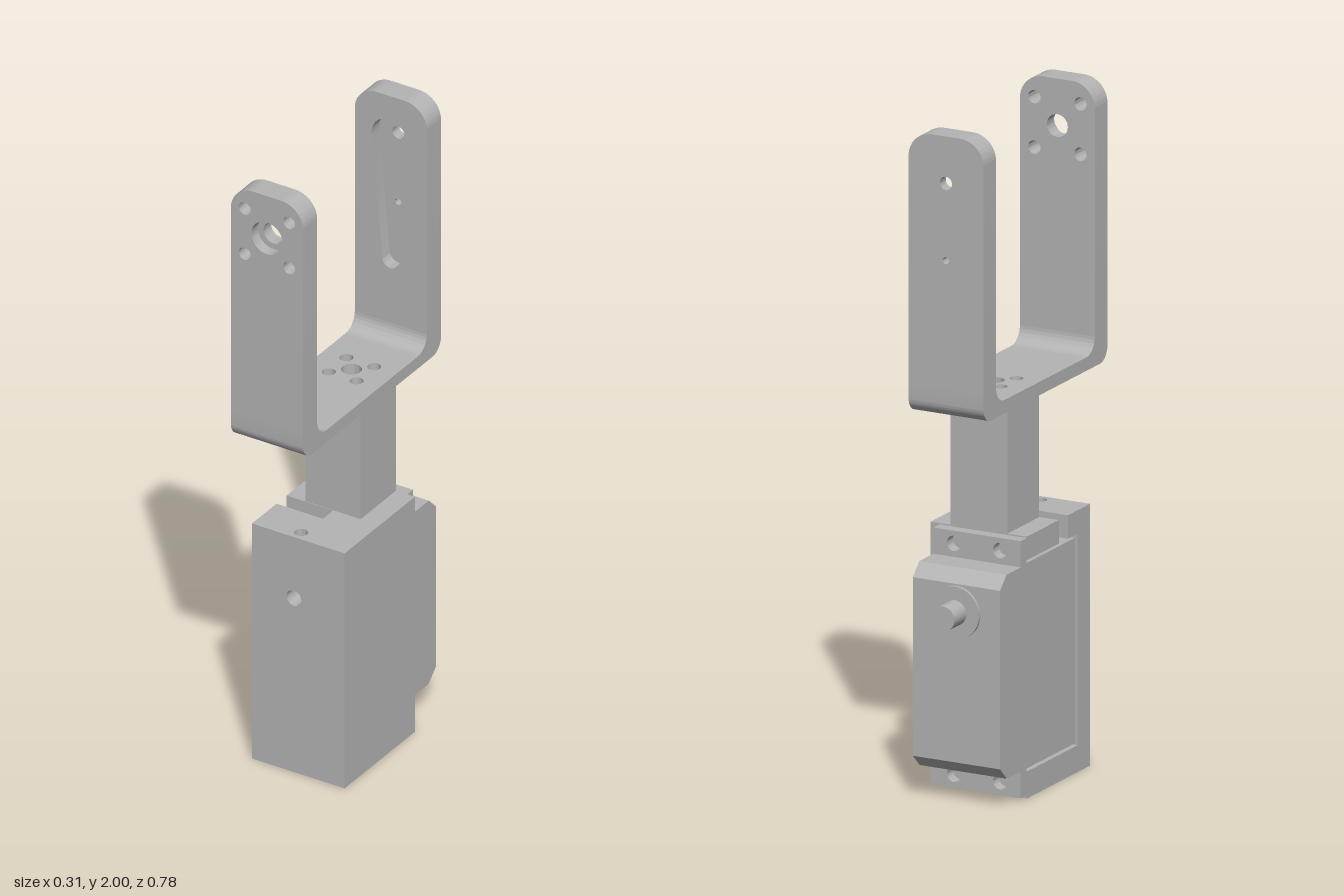
import * as THREE from 'three';
import { toCreasedNormals } from 'three/addons/utils/BufferGeometryUtils.js';

export function createModel() {
  const model = new THREE.Group();
  const grey = new THREE.MeshStandardMaterial({ color: 0xb4b4b4 });
  grey.name = 'plain grey';

  const add = (name, geometry) => {
    const mesh = new THREE.Mesh(geometry, grey);
    mesh.name = name;
    model.add(mesh);
    return mesh;
  };
  // Box given by its limits
  const box = (name, x0, x1, y0, y1, z0, z1) =>
    add(name, new THREE.BoxGeometry(x1 - x0, y1 - y0, z1 - z0)
      .translate((x0 + x1) / 2, (y0 + y1) / 2, (z0 + z1) / 2));
  const polygon = (pts) => new THREE.Shape(pts.map(([x, y]) => new THREE.Vector2(x, y)));
  const rect = (x0, x1, y0, y1) => polygon([[x0, y0], [x1, y0], [x1, y1], [x0, y1]]);
  const circle = (x, y, r) => new THREE.Path().absarc(x, y, r, 0, Math.PI * 2, false);
  const extrude = (shape, depth, holes = []) => {
    shape.holes.push(...holes);
    return new THREE.ExtrudeGeometry(shape, { depth, bevelEnabled: false, curveSegments: 16 });
  };
  const smooth = (g) => toCreasedNormals(g, 0.5);
  // Upright plate (x, y), spanning z0 to z1
  const upright = (name, shape, z0, z1, holes) =>
    add(name, smooth(extrude(shape, z1 - z0, holes).translate(0, 0, z0)));
  // Level plate drawn as (x, -z), spanning y0 to y1
  const level = (name, shape, y0, y1, holes) =>
    add(name, smooth(extrude(shape, y1 - y0, holes).rotateX(-Math.PI / 2).translate(0, y0, 0)));
  // Side profile (z, y), spanning x0 to x1
  const sideways = (name, shape, x0, x1) =>
    add(name, smooth(extrude(shape, x1 - x0).rotateY(-Math.PI / 2).translate(x1, 0, 0)));

  // ---- U bracket ----
  const W = 0.122, PIVOT = 1.86, BEND = 1.25;
  const armShape = () => {
    const r = 0.075, s = new THREE.Shape();
    s.moveTo(-W, BEND);
    s.lineTo(W, BEND);
    s.absarc(W - r, 2 - r, r, 0, Math.PI / 2, false);
    s.absarc(-W + r, 2 - r, r, Math.PI / 2, Math.PI, false);
    return s;
  };
  const screwHoles = () => [-1, 1].flatMap((i) => [-1, 1].map((j) =>
    circle(i * 0.075, PIVOT + j * 0.075, 0.02)));

  // Front arm: counterbored pivot hole and four screw holes
  upright('frontArmOuter', armShape(), 0.355, 0.39, [circle(0, PIVOT, 0.053), ...screwHoles()]);
  upright('frontArmInner', armShape(), 0.315, 0.355, [circle(0, PIVOT, 0.034), ...screwHoles()]);

  // Back arm: teardrop pocket on the inside, two small holes through the rear skin
  const a = 0.0876, teardrop = new THREE.Path();
  teardrop.absarc(0, PIVOT, 0.065, -a, Math.PI + a, false);
  teardrop.absarc(0, 1.46, 0.03, Math.PI + a, 2 * Math.PI - a, false);
  teardrop.closePath();
  upright('backArmInner', armShape(), -0.31, -0.27, [teardrop]);
  upright('backArmOuter', armShape(), -0.345, -0.31,
    [circle(0, PIVOT, 0.02), circle(0, 1.63, 0.01)]);

  // Rounded bends between arms and base
  const bend = (name, outer, inner, s) => {
    const p = new THREE.Shape(), ro = 0.045, ri = 0.05;
    const up = s > 0 ? 0 : Math.PI;
    p.moveTo(outer, BEND);
    p.lineTo(outer, 1.16 + ro);
    p.absarc(outer - s * ro, 1.16 + ro, ro, up, s > 0 ? -Math.PI / 2 : 1.5 * Math.PI, s > 0);
    p.lineTo(inner - s * ri, 1.16);
    p.lineTo(inner - s * ri, 1.2);
    p.absarc(inner - s * ri, BEND, ri, s > 0 ? -Math.PI / 2 : 1.5 * Math.PI, up, s < 0);
    p.closePath();
    sideways(name, p, -W, W);
  };
  bend('frontBend', 0.39, 0.315, 1);
  bend('backBend', -0.345, -0.27, -1);

  // Base with centre hole and four screw holes
  const baseHoles = [circle(0, 0.06, 0.03)];
  for (const i of [-1, 1]) for (const j of [-1, 1])
    baseHoles.push(circle(i * 0.047, 0.06 + j * 0.047, 0.02));
  level('bracketBase', rect(-W, W, -0.265, 0.22), 1.16, 1.2, baseHoles);

  // ---- Stem ----
  box('stem', -0.094, 0.092, 0.78, 1.16, -0.152, 0.036);

  // ---- Housing, open at its right side and back ----
  const X0 = -0.157, X1 = 0.156, XS = 0.127, F = 0.223, B = -0.152;
  box('housingBottom', X0, X1, 0, 0.08, B, F);
  box('housingSideWall', XS, X1, 0.08, 0.71, B, 0.15);
  upright('housingFrontWall', rect(X0, X1, 0.08, 0.71), 0.15, F, [circle(-0.015, 0.577, 0.025)]);
  // Top with a cable notch in front of the stem
  level('housingTop', polygon([[X0, -F], [X1, -F], [X1, -B], [X0, -B],
    [X0, -0.038], [0, -0.038], [0, -0.092], [X0, -0.092]]), 0.71, 0.78,
    [circle(-0.012, -0.19, 0.02)]);

  // ---- Motor ----
  const CX = -0.015;
  box('motorBody', -0.154, XS, 0.088, 0.7, B, 0.14);
  const flangeHoles = [];
  for (const x of [CX - 0.075, CX + 0.075]) for (const y of [0.05, 0.738])
    flangeHoles.push(circle(x, y, 0.023));
  upright('motorFlange', rect(X0, XS, 0.01, 0.776), -0.188, B, flangeHoles);
  sideways('motorRear', polygon([[-0.188, 0.09], [-0.27, 0.09], [-0.31, 0.128],
    [-0.31, 0.66], [-0.272, 0.698], [-0.188, 0.698]].reverse()), X0, XS);

  // Output boss and shaft
  const disc = (name, r, z0, z1) => add(name,
    new THREE.CylinderGeometry(r, r, z1 - z0, 32).rotateX(Math.PI / 2)
      .translate(CX, 0.577, (z0 + z1) / 2));
  disc('outputBoss', 0.078, -0.319, -0.31);
  disc('outputShaft', 0.037, -0.39, -0.319);

  return model;
}
